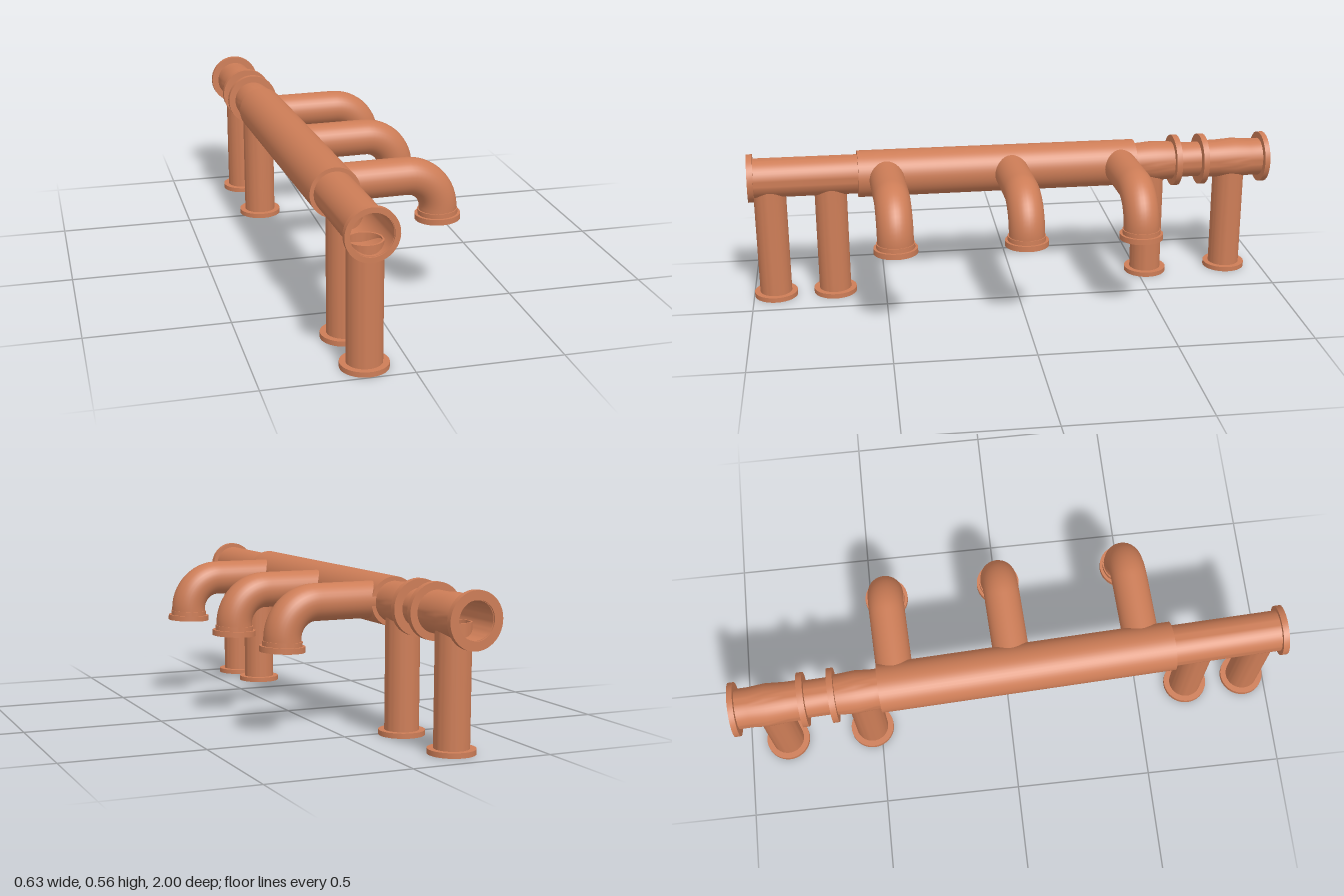
import * as THREE from 'three';
import { toCreasedNormals } from 'three/addons/utils/BufferGeometryUtils.js';

const material = new THREE.MeshStandardMaterial({ color: 0xcd7d57, side: THREE.DoubleSide });

// Centre line of the slightly skewed main pipe
const axisAt = (z) => new THREE.Vector3(-0.182 + 0.0385 * z, 0.4615 + 0.0115 * z, z);

function part(name, geometry) {
  const mesh = new THREE.Mesh(geometry, material);
  mesh.name = name;
  return mesh;
}

// Closed profile of [radius, height] corners turned around y
function turned(name, corners, sides = 48) {
  const points = [...corners, corners[0]].map(([r, y]) => new THREE.Vector2(r, y));
  return part(name, toCreasedNormals(new THREE.LatheGeometry(points, sides), 0.6));
}

const ring = (name, inner, outer, y0, y1) =>
  turned(name, [[outer, y0], [outer, y1], [inner, y1], [inner, y0]]);

// Hollow stepped pipe with its end flanges and coupling collars
function createMainPipe() {
  const pipe = new THREE.Group();
  pipe.name = 'mainPipe';
  pipe.position.copy(axisAt(0));
  pipe.quaternion.setFromUnitVectors(
    new THREE.Vector3(0, 1, 0), new THREE.Vector3(0.0385, 0.0115, 1).normalize());
  pipe.add(turned('pipeBody', [
    [0.072, -0.99], [0.072, -0.93], [0.077, -0.87], [0.072, -0.8], [0.072, -0.74],
    [0.067, -0.735], [0.067, -0.635], [0.072, -0.63], [0.077, -0.55], [0.072, -0.49], [0.072, -0.47],
    [0.0875, -0.47], [0.0875, 0.59], [0.0735, 0.59], [0.0735, 0.99],
    [0.07, 0.99], [0.07, -0.45], [0.064, -0.47], [0.064, -0.99],
  ]));
  pipe.add(ring('frontFlange', 0.0715, 0.0895, 0.974, 0.996));
  pipe.add(ring('backFlange', 0.066, 0.097, -0.996, -0.976));
  for (const y of [-0.635, -0.742]) pipe.add(ring('couplingCollar', 0.066, 0.098, y - 0.011, y + 0.011));
  return pipe;
}

// Upright hollow leg reaching into the main pipe
function createLeg(z) {
  const leg = new THREE.Group();
  leg.name = 'leg';
  leg.position.set(axisAt(z).x, 0, z);
  leg.add(ring('legTube', 0.053, 0.06, 0.004, 0.433));
  leg.add(ring('legFlange', 0.056, 0.081, 0, 0.018));
  return leg;
}

// Side branch: straight run, quarter elbow and a downward outlet
function createBranch(z) {
  const branch = new THREE.Group();
  branch.name = 'sideBranch';
  branch.position.set(axisAt(z).x, 0.463 + 0.006 * z, z);
  branch.rotation.y = 0.0385;
  const v = (x, y) => new THREE.Vector3(x, y, 0);
  const R = 0.12, k = R * 0.5523, x0 = 0.277, x1 = x0 + R;
  const path = new THREE.CurvePath();
  path.add(new THREE.LineCurve3(v(0.042, 0), v(x0, 0)));
  path.add(new THREE.CubicBezierCurve3(v(x0, 0), v(x0 + k, 0), v(x1, -R + k), v(x1, -R)));
  path.add(new THREE.LineCurve3(v(x1, -R), v(x1, -0.148)));
  branch.add(part('branchTube', new THREE.TubeGeometry(path, 32, 0.065, 32)));

  // Slightly tilted outlet with a neck, flange and closing disc
  const outlet = new THREE.Group();
  outlet.name = 'branchOutlet';
  outlet.position.set(x1, -0.153, 0);
  outlet.rotation.z = 0.035;
  outlet.add(ring('outletNeck', 0.058, 0.069, 0.01, 0.026));
  outlet.add(ring('outletFlange', 0.062, 0.079, -0.01, 0.01));
  const disc = part('outletDisc', new THREE.CircleGeometry(0.063, 32).rotateX(Math.PI / 2));
  disc.position.y = -0.006;
  outlet.add(disc);
  branch.add(outlet);
  return branch;
}

export function createModel() {
  const model = new THREE.Group();
  model.name = 'pipeManifold';
  model.add(createMainPipe());
  for (const z of [0.917, 0.692, -0.533, -0.859]) model.add(createLeg(z));
  for (const z of [0.485, 0.015, -0.407]) model.add(createBranch(z));
  return model;
}
